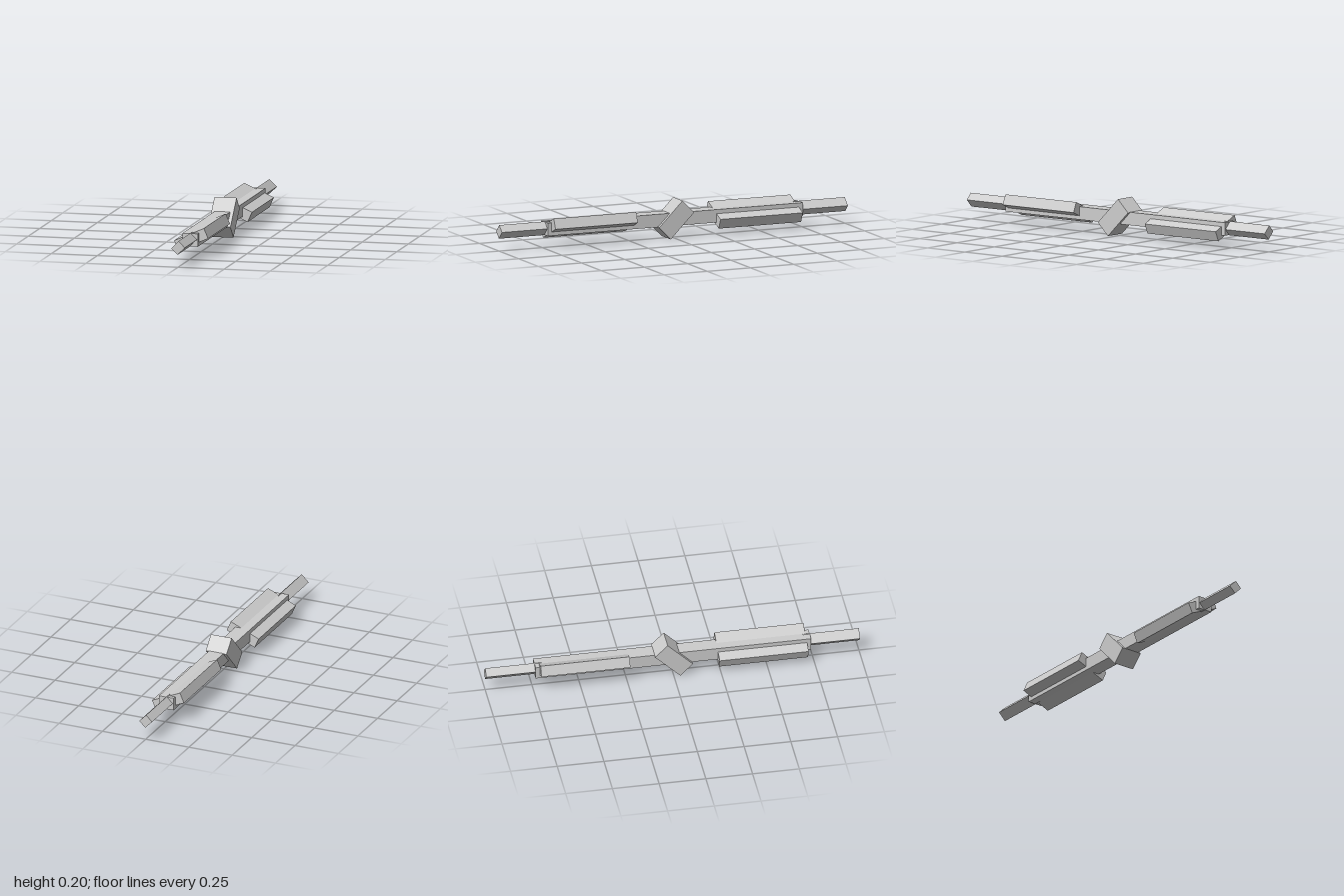
import * as THREE from 'three';

export function createModel() {
  const model = new THREE.Group();
  const grey = new THREE.MeshStandardMaterial({ color: 0xcccccc });
  grey.name = 'grey';

  const box = (name, size, position, parent = model) => {
    const mesh = new THREE.Mesh(new THREE.BoxGeometry(...size), grey);
    mesh.name = name;
    mesh.position.set(...position);
    parent.add(mesh);
    return mesh;
  };

  // Tilted block in the middle
  const hub = box('centreBlock', [0.12, 0.191, 0.095], [0, 0.1015, 0]);
  hub.rotation.x = -Math.PI / 4;

  // Each arm: shaft, wide tilted plate and diamond-turned end rod; the rear is the front turned half round
  for (const [name, turn] of [['frontArm', 0], ['rearArm', Math.PI]]) {
    const arm = new THREE.Group();
    arm.name = name;
    arm.rotation.y = turn;
    model.add(arm);

    box('shaft', [0.084, 0.069, 0.737], [0, 0.1025, 0.3685], arm);
    const plate = box('plate', [0.176, 0.058, 0.476], [0, 0.1015, 0.477], arm);
    plate.rotation.z = THREE.MathUtils.degToRad(23.8);
    const rod = box('endRod', [0.056, 0.048, 0.3], [0, 0.103, 0.85], arm);
    rod.rotation.z = Math.PI / 4;
  }
  return model;
}
